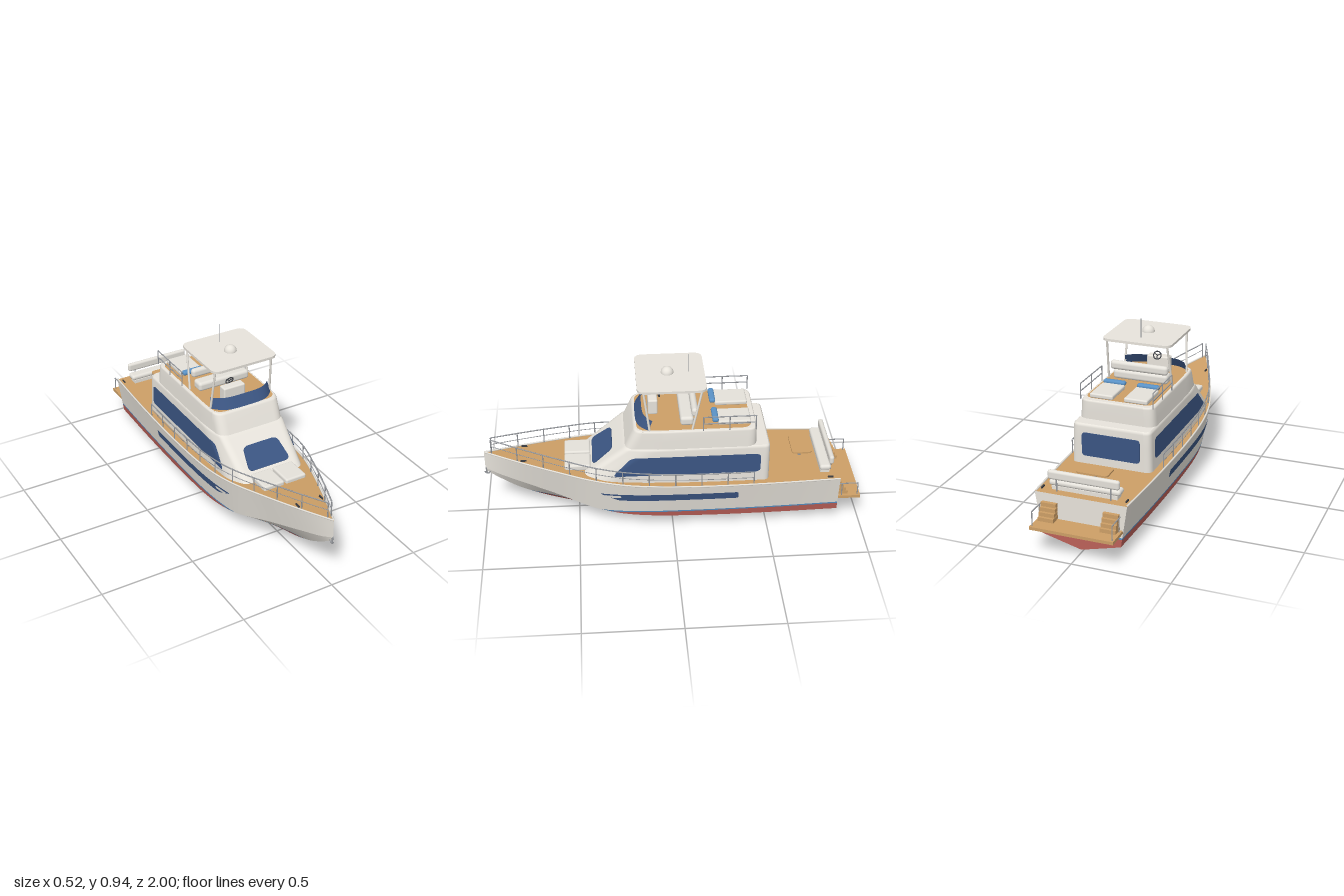
import * as THREE from 'three';
import { RoundedBoxGeometry } from 'three/addons/geometries/RoundedBoxGeometry.js';

const mat = (name, color, side = THREE.FrontSide) => {
  const m = new THREE.MeshStandardMaterial({ color, side });
  m.name = name;
  return m;
};
const white = mat('white gelcoat', 0xebe7df);
const cushion = mat('cushion', 0xe4e1da);
const teak = mat('teak', 0xcd9f66);
const red = mat('red antifouling', 0xbb6058);
const glass = mat('navy glass', 0x3b5582, THREE.DoubleSide);
const sky = mat('light blue', 0x5a92c6);
const steel = mat('steel', 0x989ba0);
const dark = mat('dark fittings', 0x3a3d43);

// Hull stations: z, keel y, chine x, chine y, sheer x, sheer y
const stations = [
  [-0.88, 0.015, 0.205, 0.068, 0.238, 0.287], [-0.5, 0.004, 0.216, 0.07, 0.256, 0.289],
  [-0.1, 0.001, 0.22, 0.075, 0.26, 0.291], [0.2, 0.002, 0.214, 0.09, 0.251, 0.303],
  [0.4, 0.014, 0.185, 0.12, 0.222, 0.322], [0.6, 0.062, 0.118, 0.172, 0.157, 0.343],
  [0.8, 0.14, 0.055, 0.222, 0.082, 0.364], [0.92, 0.215, 0.02, 0.255, 0.032, 0.377],
  [0.99, 0.268, 0, 0.285, 0, 0.385],
];
const slope = (i, c) => {
  const a = stations[Math.max(i - 1, 0)], b = stations[Math.min(i + 1, stations.length - 1)];
  return (b[c] - a[c]) / (b[0] - a[0]);
};
// Smooth interpolation of one station column at z
function at(z, c) {
  let i = 0;
  while (i < stations.length - 2 && z > stations[i + 1][0]) i++;
  const a = stations[i], b = stations[i + 1], h = b[0] - a[0];
  const t = Math.min(1, Math.max(0, (z - a[0]) / h)), t2 = t * t, t3 = t2 * t;
  return (2 * t3 - 3 * t2 + 1) * a[c] + (t3 - 2 * t2 + t) * h * slope(i, c)
    + (3 * t2 - 2 * t3) * b[c] + (t3 - t2) * h * slope(i + 1, c);
}
function hullX(z, y) {
  const k = at(z, 1), cx = at(z, 2), cy = at(z, 3), sx = at(z, 4), sy = at(z, 5);
  if (y <= cy) return Math.max(0, cx * Math.max(0, (y - k) / (cy - k)));
  return Math.max(0, cx + (sx - cx) * (y - cy) / (sy - cy));
}

// Surface from a rule p(u, v); it faces along dU x dV
function grid(p, nu, nv) {
  const pos = [], idx = [];
  for (let i = 0; i <= nu; i++) for (let j = 0; j <= nv; j++) pos.push(...p(i / nu, j / nv));
  for (let i = 0; i < nu; i++) for (let j = 0; j < nv; j++) {
    const a = i * (nv + 1) + j, b = a + nv + 1;
    idx.push(a, b, b + 1, a, b + 1, a + 1);
  }
  const g = new THREE.BufferGeometry();
  g.setAttribute('position', new THREE.Float32BufferAttribute(pos, 3));
  g.setIndex(idx);
  g.computeVertexNormals();
  return g;
}

// Plan outline of the deckhouse: straight sides tapering to the front, rounded corners
function outline({ w, fw, zt, zf, za, r }) {
  const c = [[-w, za, r], [-w, zt, 0.06], [-fw, zf, r], [fw, zf, r], [w, zt, 0.06], [w, za, r]].map(
    ([x, z, q]) => ({ p: new THREE.Vector2(x, z), q }));
  const out = [];
  c.forEach(({ p, q }, i) => {
    const toward = (o) => p.clone().add(o.p.clone().sub(p).setLength(q));
    const curve = new THREE.QuadraticBezierCurve(toward(c[(i + 5) % 6]), p, toward(c[(i + 1) % 6]));
    out.push(...curve.getPoints(6));
  });
  return out;
}
function loft(levels) {
  const rings = levels.map((l) => outline(l)), n = rings[0].length;
  return grid((u, v) => {
    const l = Math.round(v * (levels.length - 1)), q = rings[l][Math.round(u * n) % n];
    return [q.x, levels[l].y, q.y];
  }, n, levels.length - 1);
}
function cap(level, y) {
  const g = new THREE.ShapeGeometry(new THREE.Shape(outline(level).map((p) => new THREE.Vector2(p.x, -p.y))));
  return g.rotateX(-Math.PI / 2).translate(0, y, 0);
}
// Rounded plate in the xy plane with bottom and top half widths
function plate(wb, wt, h, r, depth) {
  const c = [[-wb, -h], [wb, -h], [wt, h], [-wt, h]].map((p) => new THREE.Vector2(...p));
  const s = new THREE.Shape();
  c.forEach((p, i) => {
    const to = (o) => p.clone().add(o.clone().sub(p).setLength(r));
    const a = to(c[(i + 3) % 4]), b = to(c[(i + 1) % 4]);
    if (i) s.lineTo(a.x, a.y); else s.moveTo(a.x, a.y);
    s.quadraticCurveTo(p.x, p.y, b.x, b.y);
  });
  return new THREE.ExtrudeGeometry(s, { depth, bevelEnabled: false, curveSegments: 6 });
}

export function createModel() {
  const root = new THREE.Group();
  const add = (name, geo, m, x = 0, y = 0, z = 0) => {
    const mesh = new THREE.Mesh(geo, m);
    mesh.name = name;
    mesh.position.set(x, y, z);
    root.add(mesh);
    return mesh;
  };
  const V = (x, y, z) => new THREE.Vector3(x, y, z);
  const box = (name, m, w, h, d, x, y, z, r = 0) =>
    add(name, r ? new RoundedBoxGeometry(w, h, d, 4, r) : new THREE.BoxGeometry(w, h, d), m, x, y, z);
  const rod = (name, m, a, b, r = 0.0035) => {
    const d = b.clone().sub(a);
    const mesh = add(name, new THREE.CylinderGeometry(r, r, d.length(), 8), m, ...a.clone().add(b).multiplyScalar(0.5));
    mesh.quaternion.setFromUnitVectors(V(0, 1, 0), d.normalize());
  };
  const tube = (name, m, pts, r) => add(name, new THREE.TubeGeometry(new THREE.CatmullRomCurve3(pts), 60, r, 6), m);

  // Hull bands split at the waterline and creased at the chine
  const lo = (z) => Math.max(at(z, 1), 0.108), hi = (z) => Math.max(at(z, 1), 0.117);
  const bands = [
    ['hullBottom', red, (z) => at(z, 1), (z) => Math.min(at(z, 3), lo(z))],
    ['hullBottomSide', red, (z) => Math.min(at(z, 3), lo(z)), lo],
    ['bootStripe', sky, lo, hi],
    ['bowUnderside', white, hi, (z) => Math.max(hi(z), at(z, 3))],
    ['topside', white, (z) => Math.max(hi(z), at(z, 3)), (z) => at(z, 5)],
  ];
  for (const [name, m, y0, y1] of bands) {
    for (const s of [1, -1]) add(name, grid((u, v) => {
      const z = -0.88 + 1.87 * (s > 0 ? 1 - u : u), y = y0(z) + (y1(z) - y0(z)) * v;
      return [s * hullX(z, y), y, z];
    }, 60, 4), m);
    add('transom', grid((u, v) => {
      const y = y0(-0.88) + (y1(-0.88) - y0(-0.88)) * v;
      return [(1 - 2 * u) * hullX(-0.88, y), y, -0.88];
    }, 1, 2), m);
  }
  add('deck', grid((u, v) => {
    const z = -0.88 + 1.87 * u;
    return [(2 * v - 1) * at(z, 4), at(z, 5) - 0.002, z];
  }, 60, 2), teak);

  // Deckhouse, with a raked front, and the flybridge above
  const front = (y) => 0.245 + (0.5 - y) * 1.242;
  const lower = (y, inset = 0) => ({ y, w: 0.214 - (y - 0.285) * 0.03 - inset, fw: 0.16 + (y - 0.285) * 0.12 - inset,
    zt: front(y) - 0.115, zf: front(y) - inset, za: -0.505 + inset, r: 0.035 });
  const upper = (y, inset = 0) => ({ y, w: 0.203 - (y - 0.49) * 0.07 - inset, fw: 0.185 - inset, zt: 0.1,
    zf: 0.25 - (y - 0.49) * 0.45 - inset, za: -0.435 + inset, r: 0.05 });
  add('deckhouse', loft([lower(0.27), lower(0.335), lower(0.42), lower(0.485), lower(0.495, 0.003), lower(0.5, 0.009)]), white);
  add('deckhouseRoof', cap(lower(0.5, 0.009), 0.5), white);
  add('flybridge', loft([upper(0.49), upper(0.54), upper(0.59), upper(0.597, 0.002), upper(0.6, 0.006)]), white);
  add('flybridgeTop', cap(upper(0.6, 0.006), 0.6), white);
  add('flybridgeDeck', cap({ ...upper(0.6, 0.014), za: -0.405 }, 0.602), teak);

  // Windows that follow the deckhouse and hull sides
  const houseX = (z, y) => {
    const l = lower(y);
    return z < l.zt ? l.w : l.w + (l.fw - l.w) * (z - l.zt) / (l.zf - l.zt);
  };
  const sideWindow = (name, m, surface, gap, y0, y1, zAft, zLow, zTop, r) => {
    for (const s of [1, -1]) add(name, grid((u, v) => {
      const y = y0 + (y1 - y0) * v, e = Math.min(y - y0, y1 - y, r);
      const round = r - Math.sqrt(Math.max(0, r * r - (r - e) ** 2));
      const a = zAft + round, b = zLow + (zTop - zLow) * v - round, z = a + (b - a) * (s > 0 ? 1 - u : u);
      return [s * (surface(z, y) + gap), y, z];
    }, 40, 14), m);
  };
  sideWindow('saloonWindow', glass, houseX, 0.005, 0.345, 0.455, -0.455, 0.32, 0.215, 0.02);
  sideWindow('hullWindow', glass, hullX, 0.005, 0.2, 0.243, -0.34, 0.29, 0.388, 0.008);
  sideWindow('portlight', white, hullX, 0.008, 0.22, 0.236, 0.275, 0.335, 0.365, 0.008);
  const shield = add('windshield', plate(0.122, 0.1, 0.067, 0.03, 0.006), glass, 0, 0.404, 0.3643);
  shield.rotation.x = -Math.atan2(0.205, 0.165);
  add('aftWindow', plate(0.155, 0.155, 0.062, 0.02, 0.006), glass, 0, 0.393, -0.509);
  add('flybridgeScreen', grid((u, v) => {
    const t = 2 * u - 1;
    return [t * (0.178 - 0.008 * v), 0.602 + 0.053 * v, 0.19 - 0.035 * v - (0.065 - 0.015 * v) * t ** 4];
  }, 32, 2), glass);

  // Flybridge furniture
  box('helmConsole', white, 0.125, 0.085, 0.05, -0.032, 0.644, 0.095, 0.008);
  const wheel = new THREE.Group();
  wheel.name = 'steeringWheel';
  wheel.add(new THREE.Mesh(new THREE.TorusGeometry(0.021, 0.003, 8, 24), dark));
  for (let i = 0; i < 3; i++) {
    const spoke = new THREE.Mesh(new THREE.BoxGeometry(0.004, 0.021, 0.004).translate(0, 0.0105, 0), dark);
    spoke.rotation.z = i * Math.PI * 2 / 3 + Math.PI;
    wheel.add(spoke);
  }
  wheel.position.set(-0.032, 0.694, 0.064);
  wheel.rotation.x = 0.4;
  root.add(wheel);
  box('helmSeat', cushion, 0.3, 0.05, 0.07, 0, 0.627, -0.075, 0.016);
  box('helmBackrest', cushion, 0.315, 0.048, 0.034, 0, 0.682, -0.114, 0.0165);
  for (const s of [1, -1]) {
    box('sunPad', cushion, 0.125, 0.024, 0.17, s * 0.092, 0.614, -0.32, 0.008);
    box('pillow', sky, 0.12, 0.024, 0.032, s * 0.092, 0.628, -0.222, 0.011);
    box('foredeckPad', cushion, 0.118, 0.034, 0.138, s * 0.064, 0.342, 0.498, 0.01);
    // Hardtop legs
    rod('hardtopLeg', white, V(s * 0.176, 0.6, 0.12), V(s * 0.164, 0.828, 0.15), 0.006);
    rod('hardtopLeg', white, V(s * 0.176, 0.6, -0.1), V(s * 0.164, 0.828, -0.15), 0.006);
  }
  const top = add('hardtop', plate(0.187, 0.187, 0.177, 0.045, 0.013), white, 0, 0.825, 0.004);
  top.rotation.x = -Math.PI / 2;
  add('radarDome', new THREE.SphereGeometry(0.033, 24, 10, 0, Math.PI * 2, 0, Math.PI / 2), white, 0, 0.838, 0.018);
  rod('antenna', steel, V(0, 0.835, -0.09), V(0, 0.94, -0.09), 0.002);

  // Side rails, cap rails, cleats, stern steps, platform rails and stern gear on each side
  for (const s of [1, -1]) {
    for (const y of [0.64, 0.68]) rod('flybridgeRail', steel, V(s * 0.193, y, -0.155), V(s * 0.193, y, -0.425), 0.003);
    for (const z of [-0.155, -0.29, -0.425]) rod('flybridgePost', steel, V(s * 0.193, 0.598, z), V(s * 0.193, 0.68, z), 0.003);
    const rail = (z, h) => V(s * Math.max(0.01, at(z, 4) - 0.01), at(z, 5) + h * (0.075 + 0.012 * Math.max(0, z)), z);
    const line = (h) => Array.from({ length: 25 }, (_, i) => rail(-0.42 + 1.37 * i / 24, h));
    tube('bowRail', steel, line(1), 0.0035);
    tube('bowRailMiddle', steel, line(0.52), 0.002);
    for (let i = 0; i <= 10; i++) rod('railPost', steel, rail(-0.42 + 0.137 * i, 0), rail(-0.42 + 0.137 * i, 1), 0.003);
    tube('capRail', white, Array.from({ length: 30 }, (_, i) => {
      const z = -0.88 + 1.868 * i / 29;
      return V(s * Math.max(0, at(z, 4) - 0.003), at(z, 5), z);
    }), 0.005);
    for (const z of [-0.83, 0.78]) box('cleat', dark, 0.006, 0.008, 0.03, s * (at(z, 4) - 0.022), at(z, 5) + 0.004, z);
    for (let i = 0; i < 4; i++) box('sternStep', teak, 0.08, 0.02, 0.055 - i * 0.012, s * 0.16, 0.17 + i * 0.021, -0.88 - (0.055 - i * 0.012) / 2);
    for (const z of [-0.9, -0.985]) rod('platformPost', steel, V(s * 0.205, 0.155, z), V(s * 0.205, 0.232, z), 0.003);
    rod('platformRail', steel, V(s * 0.205, 0.232, -0.885), V(s * 0.205, 0.232, -0.985), 0.003);
    add('sternDrive', new THREE.SphereGeometry(0.012, 12, 8), teak, s * 0.108, 0.024, -0.7).scale.set(0.8, 1.1, 1);
    rod('driveShaft', red, V(s * 0.108, 0.026, -0.72), V(s * 0.108, 0.026, -0.77), 0.004);
  }
  box('swimPlatform', teak, 0.43, 0.016, 0.12, 0, 0.15, -0.94);

  // Cockpit table and aft bench
  const table = add('cockpitTable', plate(0.082, 0.082, 0.053, 0.02, 0.008), teak, 0, 0.35, -0.697);
  table.rotation.x = -Math.PI / 2;
  rod('tablePedestal', steel, V(0, 0.285, -0.697), V(0, 0.352, -0.697), 0.008);
  box('benchBase', white, 0.34, 0.02, 0.05, 0, 0.297, -0.808);
  box('benchSeat', cushion, 0.37, 0.03, 0.06, 0, 0.322, -0.808, 0.014);
  box('benchBackrest', cushion, 0.37, 0.048, 0.026, 0, 0.368, -0.838, 0.0125);
  for (const x of [-0.14, 0.14]) rod('backrestPost', steel, V(x, 0.285, -0.842), V(x, 0.36, -0.842), 0.004);

  // Anchor at the stem
  rod('anchorShank', steel, V(0, 0.285, 0.986), V(0, 0.25, 0.984), 0.004);
  const fluke = add('anchorFluke', new THREE.TorusGeometry(0.014, 0.004, 8, 16, Math.PI), steel, 0, 0.262, 0.98);
  fluke.rotation.set(0, Math.PI / 2, Math.PI);
  return root;
}
